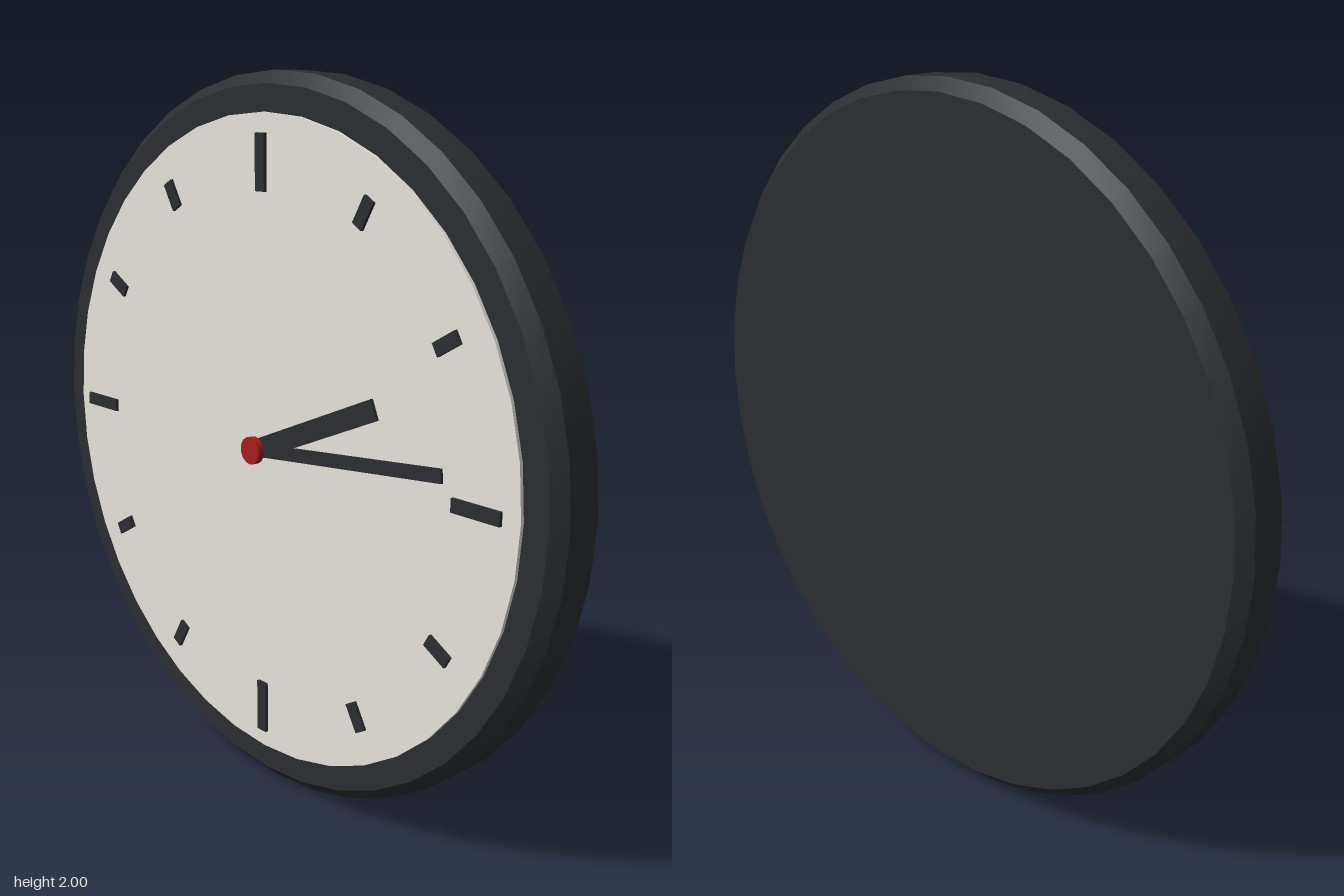
import * as THREE from 'three';
import { toCreasedNormals } from 'three/addons/utils/BufferGeometryUtils.js';

const SIDES = 40;
const CENTRE_Y = 1;

const material = (color) => new THREE.MeshStandardMaterial({ color });

export function createModel() {
  const clock = new THREE.Group();
  clock.name = 'wallClock';
  const dark = material(0x2b2e31);
  const cream = material(0xe8e5dd);
  const red = material(0xa81e1e);

  // Everything is laid out around the middle of the dial
  const dial = new THREE.Group();
  dial.name = 'dial';
  dial.position.y = CENTRE_Y;
  clock.add(dial);

  const add = (name, geometry, mat, parent = dial) => {
    const mesh = new THREE.Mesh(geometry, mat);
    mesh.name = name;
    parent.add(mesh);
    return mesh;
  };

  // Disc facing +z between two depths
  const disc = (name, radius, back, front, sides, mat) => {
    const g = new THREE.CylinderGeometry(radius, radius, front - back, sides);
    g.rotateX(Math.PI / 2);
    g.translate(0, 0, (front + back) / 2);
    return add(name, g, mat);
  };

  // Thin bar running outward from radius r0 to r1 at an angle
  const bar = (name, angle, r0, r1, width, back, front, parent) => {
    const g = new THREE.BoxGeometry(r1 - r0, width, front - back);
    g.translate((r0 + r1) / 2, 0, (front + back) / 2);
    add(name, g, dark, parent).rotation.z = angle;
  };

  // Case: a solid disc with chamfered front and back rims
  const profile = [
    [0, -0.113], [0.967, -0.113], [1, -0.08],
    [1, 0.02], [0.967, 0.053], [0, 0.053],
  ].map(([r, z]) => new THREE.Vector2(r, z));
  const caseGeometry = new THREE.LatheGeometry(profile, SIDES);
  caseGeometry.rotateX(Math.PI / 2);
  add('case', toCreasedNormals(caseGeometry, Math.PI / 6), dark);

  // Face plate
  disc('face', 0.895, 0.045, 0.063, SIDES, cream);

  // Hour marks, longer at each quarter
  const marks = new THREE.Group();
  marks.name = 'hourMarks';
  dial.add(marks);
  for (let i = 0; i < 12; i++) {
    const quarter = i % 3 === 0;
    bar(quarter ? 'quarterMark' : 'hourMark', (i * Math.PI) / 6,
      quarter ? 0.693 : 0.725, quarter ? 0.843 : 0.805, 0.036, 0.066, 0.075, marks);
  }

  // Hands and centre cap
  const deg = Math.PI / 180;
  bar('hourHand', 23 * deg, -0.02, 0.484, 0.056, 0.08, 0.088);
  bar('minuteHand', 6 * deg, -0.02, 0.683, 0.036, 0.089, 0.096);
  disc('centreCap', 0.038, 0.094, 0.113, 16, red);

  return clock;
}
